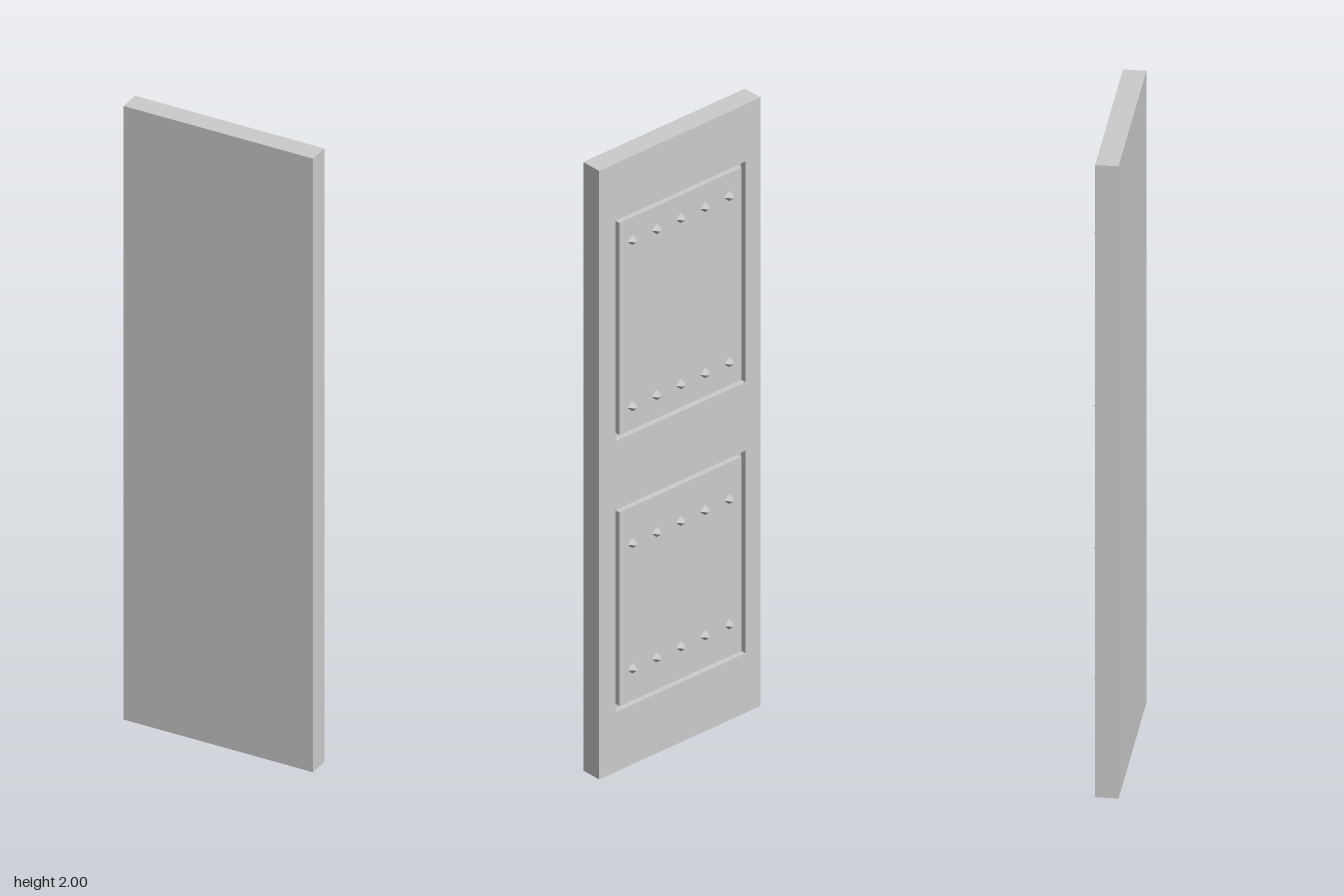
import * as THREE from 'three';

const W = 0.308, H = 2, FRONT = 0.043, BACK = -0.024;
const GROOVE = 0.015, DEPTH = 0.018;
const PANELS = [
  { name: 'upperPanel', x0: -0.25, x1: 0.245, y0: 1.087, y1: 1.813, rows: [1.724, 1.178] },
  { name: 'lowerPanel', x0: -0.25, x1: 0.245, y0: 0.196, y1: 0.862, rows: [0.728, 0.316] },
];

const material = new THREE.MeshStandardMaterial({ color: 0xcccccc, flatShading: true });

function addMesh(parent, name, geometry) {
  const mesh = new THREE.Mesh(geometry, material);
  mesh.name = name;
  parent.add(mesh);
  return mesh;
}

// Rectangle corners, counter-clockwise as seen from behind (-z)
function corners({ x0, x1, y0, y1 }, inset) {
  const a = x0 + inset, b = x1 - inset, c = y0 + inset, d = y1 - inset;
  return [[a, c], [a, d], [b, d], [b, c]];
}

// Square groove around a flush panel field, as nested rectangular rings
function panelGeometry(panel) {
  const rings = [[0, 0], [0, DEPTH], [GROOVE, DEPTH], [GROOVE, 0]];
  const positions = [], index = [];
  for (const [inset, depth] of rings)
    for (const [x, y] of corners(panel, inset)) positions.push(x, y, BACK + depth);
  for (let r = 0; r < rings.length - 1; r++)
    for (let i = 0; i < 4; i++) {
      const a = r * 4 + i, b = r * 4 + (i + 1) % 4;
      index.push(a, b, b + 4, a, b + 4, a + 4);
    }
  index.push(12, 13, 14, 12, 14, 15);
  const g = new THREE.BufferGeometry();
  g.setAttribute('position', new THREE.Float32BufferAttribute(positions, 3));
  g.setIndex(index);
  const flat = g.toNonIndexed();
  flat.computeVertexNormals();
  return flat;
}

export function createModel() {
  const door = new THREE.Group();
  door.name = 'door';

  // Slab: a box left open at the back (its last face)
  const slab = new THREE.BoxGeometry(2 * W, H, FRONT - BACK);
  slab.setIndex(Array.from(slab.index.array).slice(0, 30));
  slab.clearGroups();
  slab.translate(0, H / 2, (FRONT + BACK) / 2);
  addMesh(door, 'slab', slab);

  // Back face with panel openings, drawn mirrored and then turned round
  const outline = new THREE.Shape([[-W, 0], [W, 0], [W, H], [-W, H]].map(p => new THREE.Vector2(...p)));
  for (const p of PANELS)
    outline.holes.push(new THREE.Path(corners(p, 0).map(([x, y]) => new THREE.Vector2(-x, y))));
  const backFace = new THREE.ShapeGeometry(outline);
  backFace.rotateY(Math.PI).translate(0, 0, BACK);
  addMesh(door, 'backFace', backFace);

  // Four-sided pointed studs in rows of five
  const stud = new THREE.ConeGeometry(0.017, 0.02, 4, 1, true);
  stud.rotateX(-Math.PI / 2).translate(0, 0, BACK - 0.01);

  for (const p of PANELS) {
    const group = new THREE.Group();
    group.name = p.name;
    door.add(group);
    addMesh(group, 'groovedField', panelGeometry(p));
    for (const y of p.rows)
      for (let i = -2; i <= 2; i++)
        addMesh(group, 'stud', stud).position.set(-0.0025 + i * 0.0922, y, 0);
  }
  return door;
}
